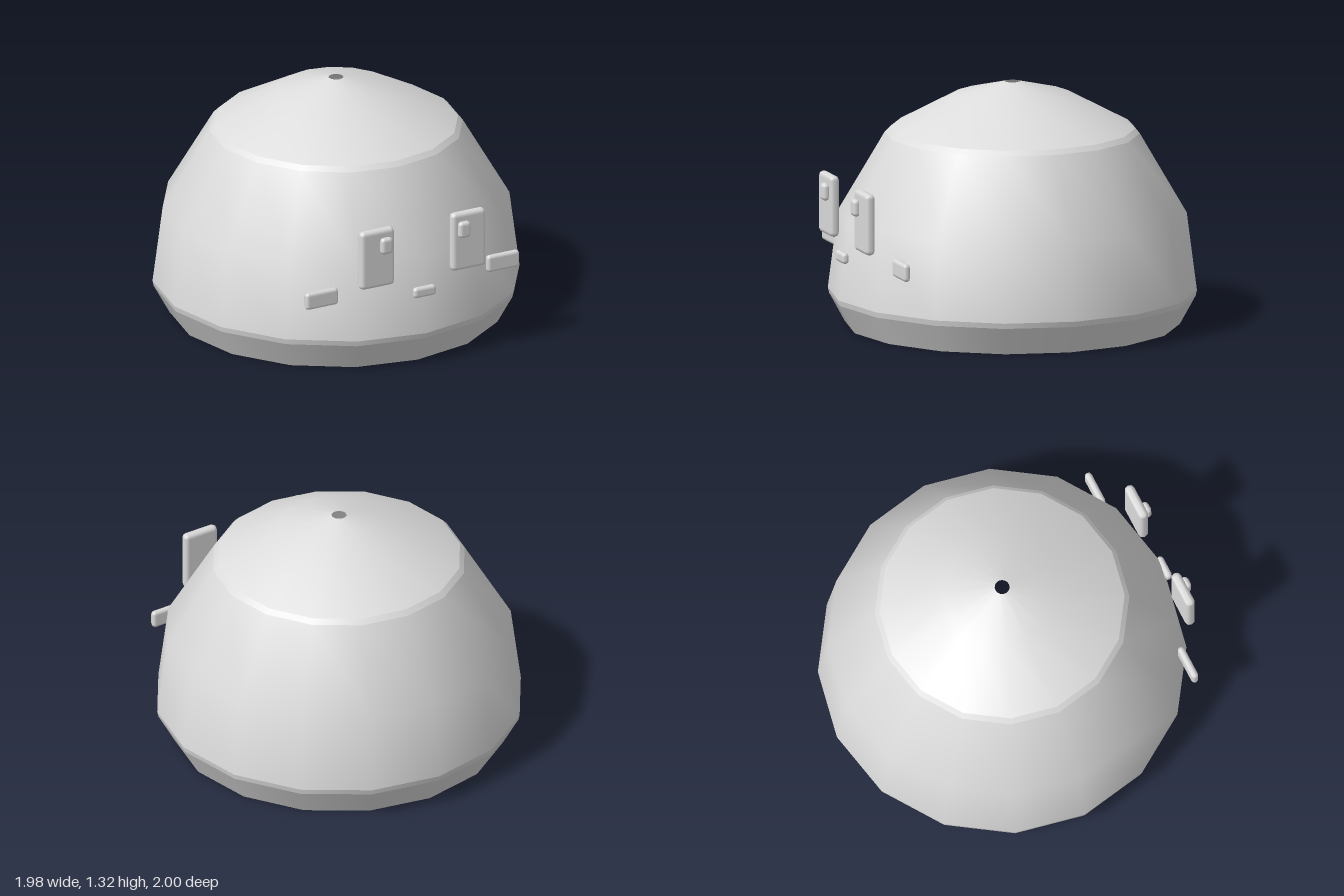
import * as THREE from 'three';
import { RoundedBoxGeometry } from 'three/addons/geometries/RoundedBoxGeometry.js';

export function createModel() {
  const model = new THREE.Group();
  model.name = 'domeCharacter';

  const grey = new THREE.MeshStandardMaterial({ color: 0xdcdcdc });
  grey.name = 'light grey';
  const greyShell = new THREE.MeshStandardMaterial({ color: 0xdcdcdc, side: THREE.DoubleSide });
  greyShell.name = 'light grey shell';

  // Hollow dome: 16-sided bands, each smooth within itself, creased where they meet
  const dome = new THREE.Group();
  dome.name = 'dome';
  dome.position.z = -0.008;
  model.add(dome);
  const bands = {
    skirt: [[0.9, 0], [0.985, 0.155]],
    lowerBevel: [[0.985, 0.155], [0.992, 0.185]],
    wall: [[0.992, 0.185], [0.937, 0.61], [0.685, 1.04]],
    upperBevel: [[0.685, 1.04], [0.66, 1.066]],
    cap: [[0.66, 1.066], [0.317, 1.25], [0.04, 1.32]],
  };
  for (const [name, profile] of Object.entries(bands)) {
    const points = profile.map(([r, y]) => new THREE.Vector2(r, y));
    const band = new THREE.Mesh(new THREE.LatheGeometry(points, 16), greyShell);
    band.name = name;
    dome.add(band);
  }

  // Bevelled plate centred at x, y, z
  function plate(name, w, h, d, bevel, x, y, z) {
    const mesh = new THREE.Mesh(new RoundedBoxGeometry(w, h, d, 1, bevel), grey);
    mesh.name = name;
    mesh.position.set(x, y, z);
    model.add(mesh);
  }

  // Face
  for (const [side, s] of [['left', 1], ['right', -1]]) {
    plate(side + 'Eye', 0.21, 0.335, 0.055, 0.025, s * 0.28, 0.661, 0.938);
    plate(side + 'Pupil', 0.074, 0.096, 0.044, 0.022, s * 0.239, 0.737, 0.976);
    plate(side + 'Cheek', 0.2, 0.098, 0.04, 0.02, s * 0.557, 0.441, 0.829);
  }
  plate('mouth', 0.138, 0.062, 0.04, 0.02, 0, 0.423, 0.965);

  return model;
}
